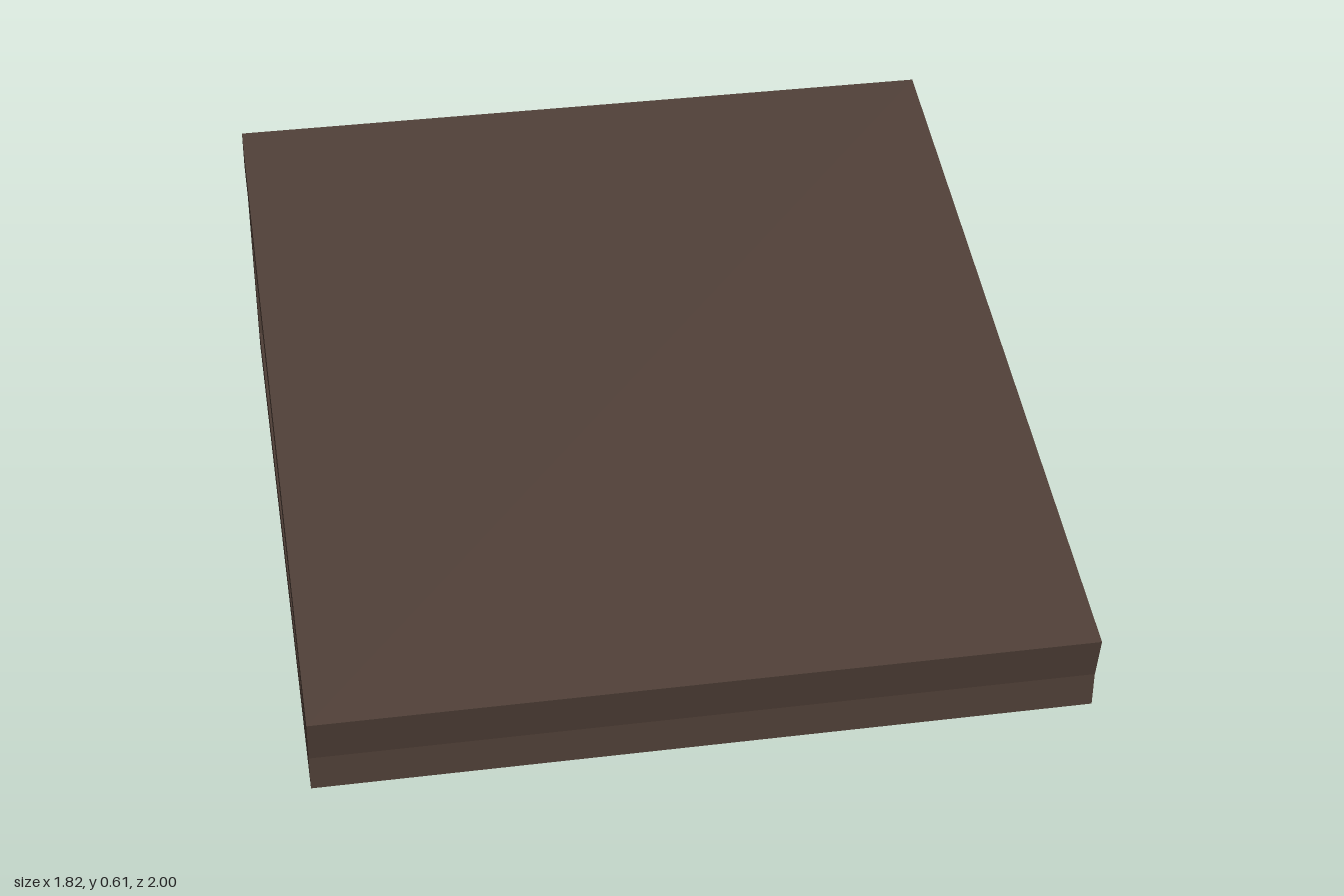
import * as THREE from 'three';

export function createModel() {
  const model = new THREE.Group();
  const wood = new THREE.MeshStandardMaterial({ color: 0x4e3e36 });
  wood.name = 'dark brown wood';

  const halfWidth = 0.91;
  const slope = 0.205;
  // Heights of the sloping underside of the deck and of the joists
  const deckUnder = (z) => 0.49 - (z + 0.975) * slope;
  const joistUnder = (z) => 0.405 - (z + 1) * slope;

  // Side profile given as [z, y] points, extruded from x0 to x1
  function addProfile(name, points, x0, x1) {
    const shape = new THREE.Shape(points.map(([z, y]) => new THREE.Vector2(z, y)));
    const geometry = new THREE.ExtrudeGeometry(shape, { depth: x1 - x0, bevelEnabled: false });
    geometry.rotateY(-Math.PI / 2).translate(x1, 0, 0);
    const mesh = new THREE.Mesh(geometry, wood);
    mesh.name = name;
    model.add(mesh);
  }

  // Sloping deck
  addProfile('deck', [
    [1, 0.205], [-0.952, 0.605], [-0.975, deckUnder(-0.975)], [0.976, deckUnder(0.976)],
  ], -halfWidth, halfWidth);

  // Upright board under the low front edge
  addProfile('frontBoard', [
    [0.975, 0], [0.975, deckUnder(0.975)], [0.93, deckUnder(0.93)], [0.93, 0],
  ], -halfWidth, halfWidth);

  // Three joists under the deck, projecting slightly at the back
  for (const x of [-0.56, 0.02, 0.6]) {
    addProfile('joist', [
      [0.93, deckUnder(0.93)], [-0.978, deckUnder(-0.978)], [-1, joistUnder(-1)], [0.93, joistUnder(0.93)],
    ], x - 0.043, x + 0.043);
  }

  // Side frame: ground rail and rear post on one side only
  const frameInner = -halfWidth + 0.045;
  addProfile('groundRail', [
    [0.93, 0], [0.93, 0.1], [-0.755, 0.1], [-0.755, 0],
  ], -halfWidth, frameInner);
  addProfile('rearPost', [
    [-0.755, 0], [-0.755, deckUnder(-0.755)], [-0.85, deckUnder(-0.85)], [-0.85, 0],
  ], -halfWidth, frameInner);

  return model;
}
